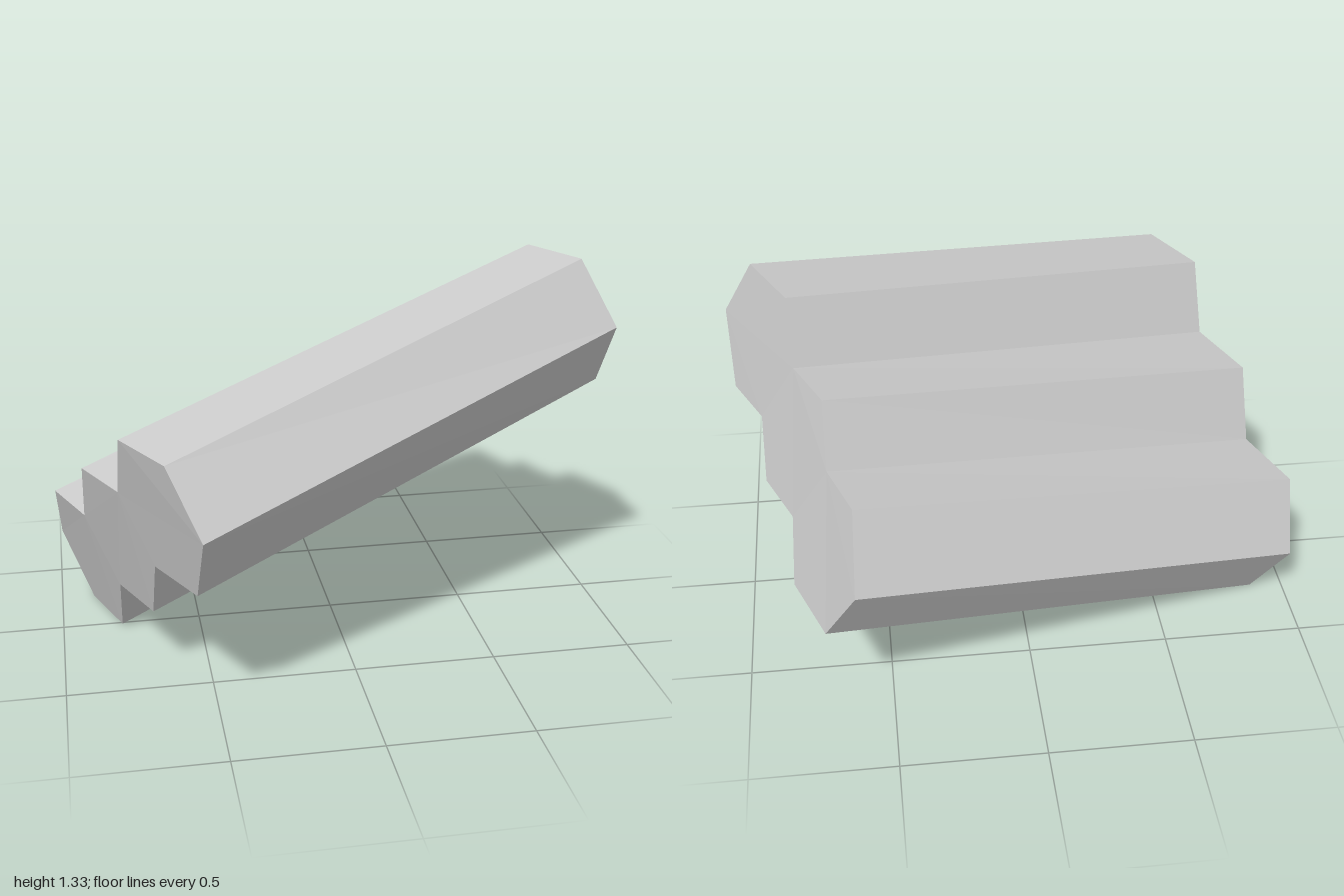
import * as THREE from 'three';

// Matching outlines of the two ends: three hexagonal lobes side by side,
// listed along the top from front to back, then along the underside to the front.
const upperEnd = [
  [0.89, 1.33, 0.085], [0.77, 1.33, -0.16], [0.76, 1.13, -0.275], [0.67, 1.13, -0.475],
  [0.67, 0.94, -0.6], [0.595, 0.94, -0.805], [0.605, 0.705, -0.955], [0.71, 0.47, -0.84],
  [0.81, 0.475, -0.59], [0.8, 0.665, -0.465], [0.89, 0.67, -0.26], [0.89, 0.86, -0.145],
  [0.985, 0.865, 0.05], [1, 1.1, 0.185],
];
const lowerEnd = [
  [-0.66, 0.95, 0.85], [-0.785, 0.95, 0.6], [-0.79, 0.715, 0.46], [-0.9, 0.705, 0.2],
  [-0.9, 0.47, 0.06], [-1, 0.465, -0.2], [-0.985, 0.235, -0.35], [-0.88, 0, -0.24],
  [-0.785, 0.005, 0.02], [-0.79, 0.24, 0.17], [-0.69, 0.25, 0.42], [-0.685, 0.485, 0.56],
  [-0.57, 0.49, 0.81], [-0.56, 0.73, 0.955],
];
// Outline corners belonging to each rod; neighbours share the notch corners
const rods = {
  frontRod: [13, 0, 1, 2, 11, 12],
  middleRod: [2, 3, 4, 9, 10, 11],
  backRod: [4, 5, 6, 7, 8, 9],
};

// One rod: two end caps plus the outer sides (faces shared with a neighbour are left out)
function rodGeometry(ring) {
  const n = upperEnd.length;
  const points = [];
  const tri = (a, b, c) => points.push(...a, ...b, ...c);
  for (let k = 1; k < ring.length - 1; k++) {
    tri(upperEnd[ring[0]], upperEnd[ring[k + 1]], upperEnd[ring[k]]);
    tri(lowerEnd[ring[0]], lowerEnd[ring[k]], lowerEnd[ring[k + 1]]);
  }
  ring.forEach((i, k) => {
    const j = ring[(k + 1) % ring.length];
    if (j !== (i + 1) % n) return;
    tri(upperEnd[i], upperEnd[j], lowerEnd[j]);
    tri(upperEnd[i], lowerEnd[j], lowerEnd[i]);
  });
  const geometry = new THREE.BufferGeometry();
  geometry.setAttribute('position', new THREE.Float32BufferAttribute(points, 3));
  geometry.computeVertexNormals();
  return geometry;
}

export function createModel() {
  const model = new THREE.Group();
  model.name = 'hexagonalRods';
  const material = new THREE.MeshStandardMaterial({ color: 0xcccccc, flatShading: true });
  for (const [name, ring] of Object.entries(rods)) {
    const rod = new THREE.Mesh(rodGeometry(ring), material);
    rod.name = name;
    model.add(rod);
  }
  return model;
}
